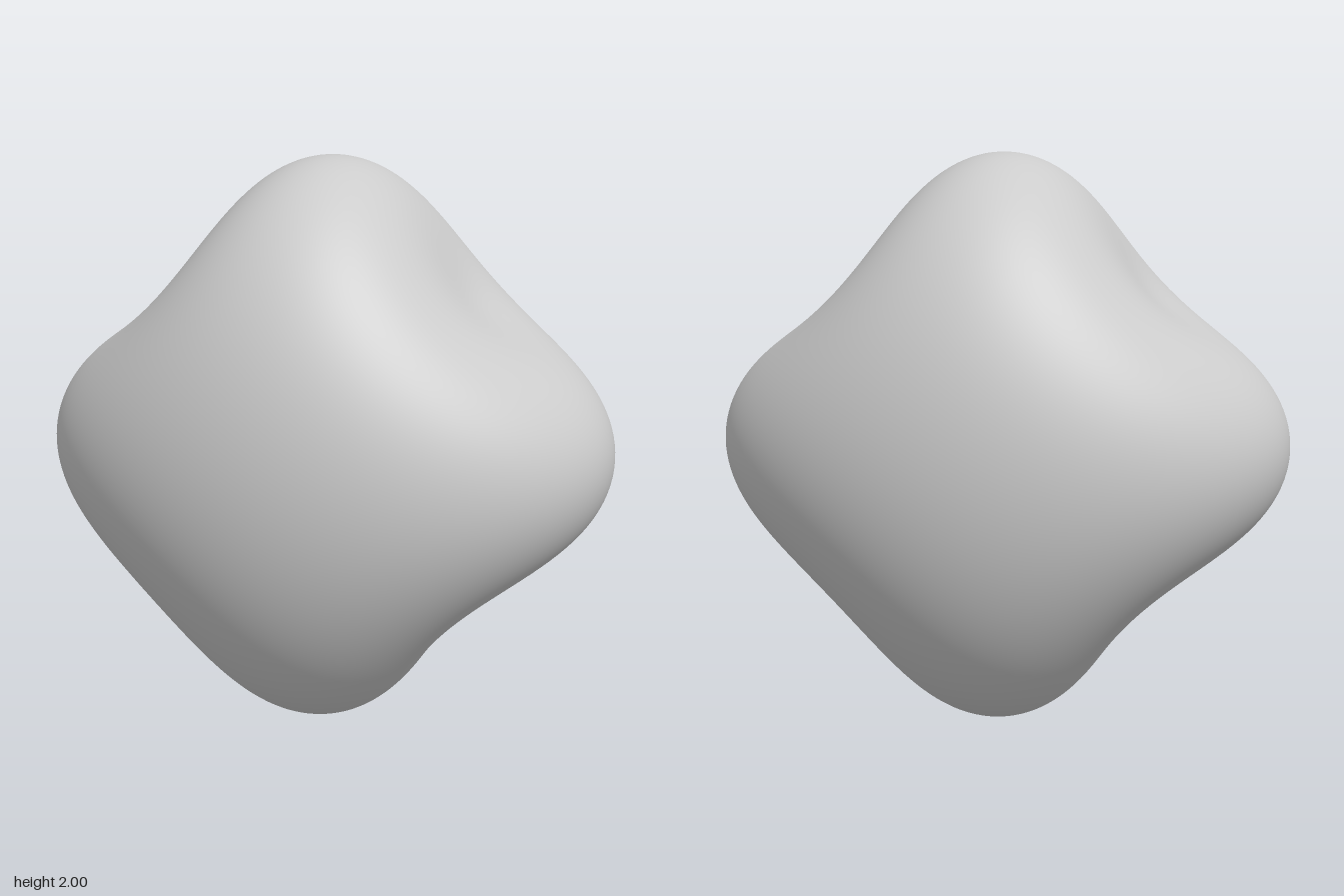
import * as THREE from 'three';
import { mergeVertices } from 'three/addons/utils/BufferGeometryUtils.js';

const DEPTH = 0.78; // half depth along z
const DENT = 0.26;  // depth of the four valleys between the lobes

// Fine, even sphere with shared vertices, so that normals come out smooth
function smoothSphere(detail) {
  const geometry = new THREE.IcosahedronGeometry(1, detail);
  geometry.deleteAttribute('uv');
  geometry.deleteAttribute('normal');
  return mergeVertices(geometry, 1e-4);
}

export function createModel() {
  const group = new THREE.Group();
  group.name = 'lobedBlob';

  // Press the sphere inwards on the diagonals of the xy plane; the valleys fade out towards z
  const geometry = smoothSphere(40);
  const position = geometry.attributes.position;
  const p = new THREE.Vector3();
  for (let i = 0; i < position.count; i++) {
    p.fromBufferAttribute(position, i).normalize();
    const r = 1 - 4 * DENT * p.x * p.x * p.y * p.y;
    position.setXYZ(i, p.x * r, p.y * r + 1, p.z * r * DEPTH);
  }
  geometry.computeVertexNormals();

  const body = new THREE.Mesh(geometry, new THREE.MeshStandardMaterial({ color: 0xcccccc }));
  body.name = 'body';
  group.add(body);
  return group;
}
